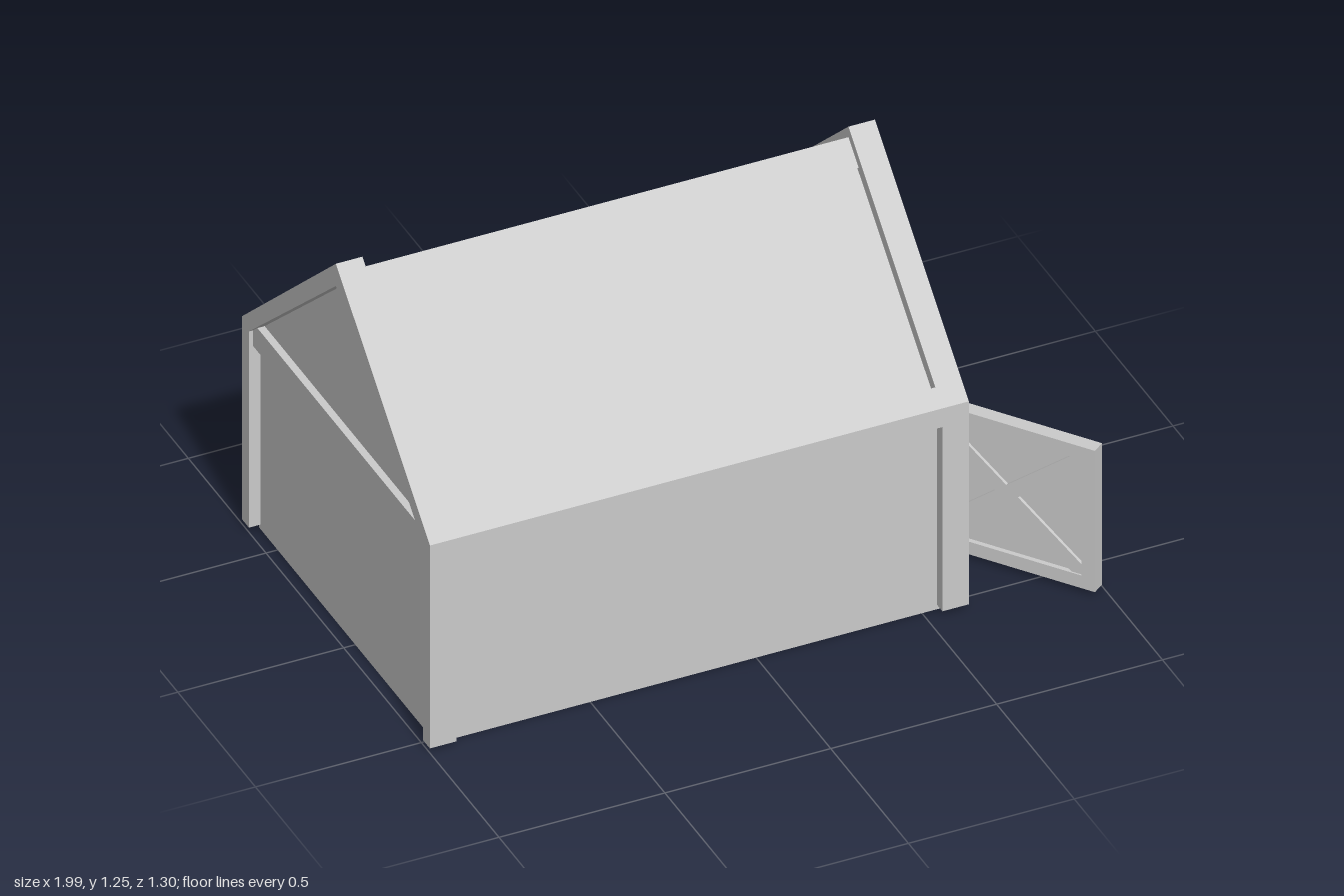
import * as THREE from 'three';

const mat = new THREE.MeshStandardMaterial({ color: 0xcccccc, flatShading: true, side: THREE.DoubleSide });

const XL = -1, XR = 0.625;      // outer gable faces
const INSET = 0.035;            // how far panels sit behind the trim
const TRIM = 0.08;              // trim width along the length
const SLOPE = 0.917;            // roof rise over run
const FOOT = 0.015;             // trim stops just above the wall base

export function createModel() {
  const model = new THREE.Group();
  model.name = 'barn';
  const house = new THREE.Group();
  house.name = 'house';
  house.position.z = -0.05;
  model.add(house);

  const add = (parent, name, geo, x = 0, y = 0, z = 0) => {
    const mesh = new THREE.Mesh(geo, mat);
    mesh.name = name;
    mesh.position.set(x, y, z);
    parent.add(mesh);
    return mesh;
  };
  const box = (parent, name, w, h, d, x, y, z) => add(parent, name, new THREE.BoxGeometry(w, h, d), x, y, z);
  const shapeOf = (pts) => new THREE.Shape(pts.map(([z, y]) => new THREE.Vector2(z, y)));

  // Extrudes a (z, y) profile along x from x0 to x1
  const along = (name, pts, x0, x1) => {
    const geo = new THREE.ExtrudeGeometry(shapeOf(pts), { depth: x1 - x0, bevelEnabled: false });
    geo.rotateY(-Math.PI / 2);
    return add(house, name, geo, x1);
  };

  // House-shaped outline, open at the bottom
  const outline = (half, eave, apex, base) =>
    [[-half, base], [-half, eave], [0, apex], [half, eave], [half, base]];
  const outer = outline(0.605, 0.69, 1.246, FOOT);
  const shell = outline(0.57, 0.675, 1.197, FOOT);
  const inner = outline(0.56, 0.668, 1.172, FOOT);
  const arch = (name, inside, x0, x1) => along(name, [...outer, ...[...inside].reverse()], x0, x1);

  // Thin hollow body: side walls and roof panels, open underneath
  const body = outline(0.57, 0.675, 1.197, 0);
  const a = XL + INSET, b = XR - INSET;
  const pos = [];
  for (let i = 0; i < 4; i++) {
    const [z0, y0] = body[i], [z1, y1] = body[i + 1];
    pos.push(a, y0, z0, b, y1, z1, b, y0, z0, a, y0, z0, a, y1, z1, b, y1, z1);
  }
  const skin = new THREE.BufferGeometry();
  skin.setAttribute('position', new THREE.Float32BufferAttribute(pos, 3));
  skin.computeVertexNormals();
  add(house, 'wallsAndRoof', skin);

  // Gable ends: wall, frame around the outline, cross band
  for (const s of [-1, 1]) {
    const side = s > 0 ? 'left' : 'right';
    const face = s > 0 ? XR : XL;
    const wallX = face - s * INSET;
    const wall = new THREE.ShapeGeometry(shapeOf(body));
    wall.rotateY(s * Math.PI / 2);
    add(house, side + 'GableWall', wall, wallX);
    arch(side + 'GableFrame', inner, Math.min(face, wallX), Math.max(face, wallX));
    const edge = face - s * TRIM;
    arch(side + 'CornerTrim', shell, Math.min(edge, wallX), Math.max(edge, wallX));
    box(house, side + 'GableBand', 0.022, 0.077, 1.12, wallX + s * 0.011, 0.6535, 0);
  }

  // Eave beams along both long sides, wrapping onto the roof
  for (const s of [-1, 1]) {
    const profile = [[0.57, 0.628], [0.605, 0.628], [0.605, 0.69], [0.56, 0.732], [0.56, 0.684], [0.57, 0.675]];
    along(s > 0 ? 'frontEaveBeam' : 'backEaveBeam', profile.map(([z, y]) => [z * s, y]), XL + TRIM, XR - TRIM);
  }

  // Ridge cap
  const r = 0.066, top = 1.211, under = 1.196;
  along('ridgeCap', [[-r, top - r * SLOPE], [0, top], [r, top - r * SLOPE],
    [r - 0.009, under - (r - 0.009) * SLOPE], [0, under], [-r + 0.009, under - (r - 0.009) * SLOPE]],
  XL + TRIM, XR - TRIM);

  // Doorway frame
  along('doorFrame', [[-0.277, FOOT], [-0.277, 0.485], [0.277, 0.485], [0.277, FOOT],
    [0.227, FOOT], [0.227, 0.436], [-0.227, 0.436], [-0.227, FOOT]], b, XR + 0.004);

  // Open door leaf, its width along local x
  const door = new THREE.Group();
  door.name = 'door';
  door.position.set(0.811, 0.25, 0.416);
  door.rotation.y = -Math.atan2(0.798, 0.604);
  model.add(door);
  const W = 0.552, H = 0.47, B = 0.042, T = 0.042;
  const iw = W - 2 * B, ih = H - 2 * B;
  box(door, 'doorPanel', iw, ih, 0.014, 0, 0, 0);
  for (const s of [-1, 1]) {
    box(door, 'doorStile', B, H, T, s * (W - B) / 2, 0, 0);
    box(door, 'doorRail', iw, B, T, 0, s * (H - B) / 2, 0);
    // Diagonal brace, clipped to the corners of the frame
    const c = 0.032, x = iw / 2, y = ih / 2;
    const brace = [[-x, -y], [-x + c, -y], [x, y - c], [x, y], [x - c, y], [-x, -y + c]];
    const geo = new THREE.ExtrudeGeometry(shapeOf(s > 0 ? brace : brace.map(([u, v]) => [-u, v])),
      { depth: 0.032, bevelEnabled: false });
    add(door, 'doorBrace', geo, 0, 0, -0.016);
  }
  return model;
}
